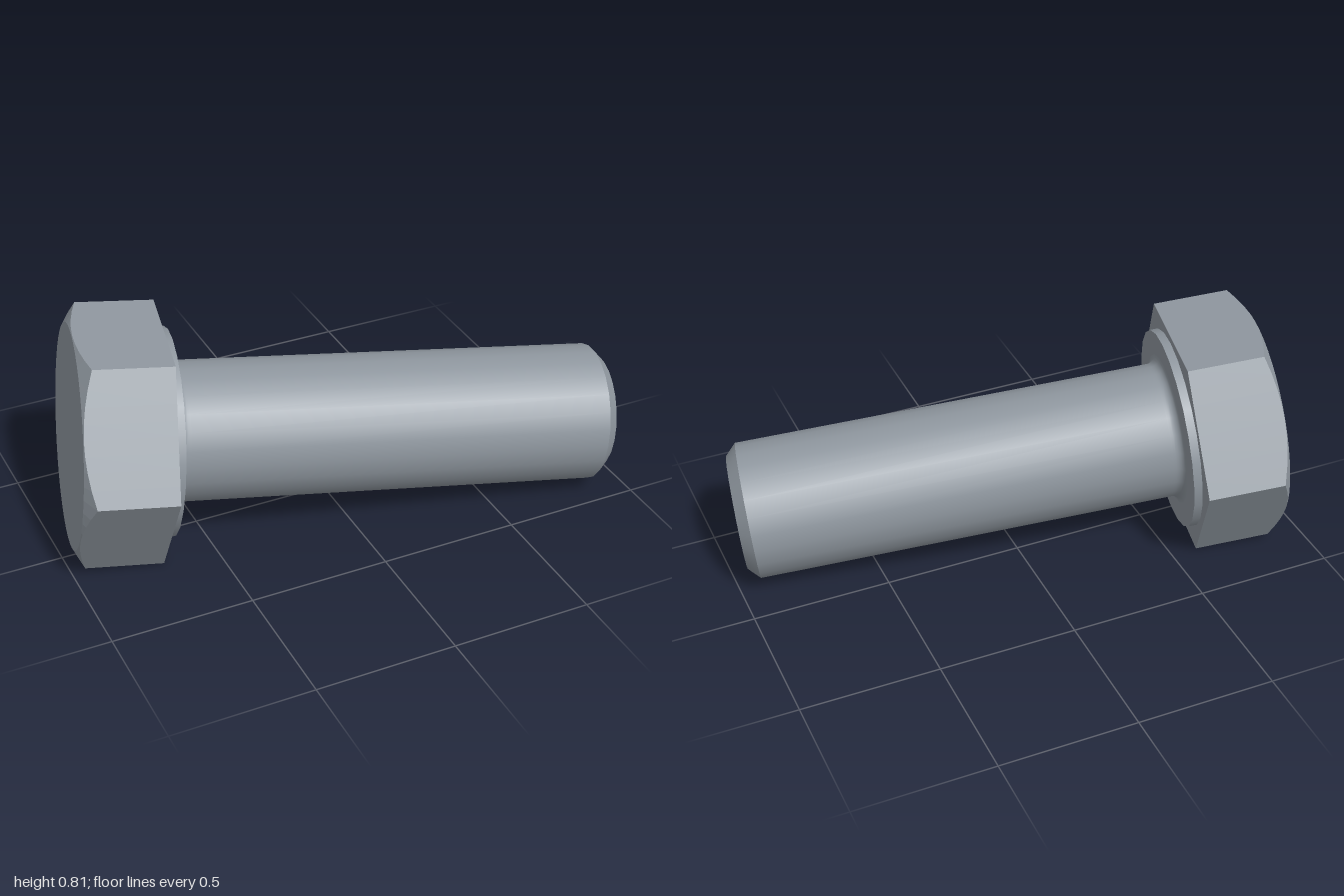
import * as THREE from 'three';

const SIDES = 24;
const steel = new THREE.MeshStandardMaterial({ color: 0x8f979f });
steel.name = 'steel';

// Surface of revolution; profile runs from the head towards the tip
function turned(name, profile) {
  const points = profile.map(([r, y]) => new THREE.Vector2(r, y));
  const mesh = new THREE.Mesh(new THREE.LatheGeometry(points, SIDES), steel);
  mesh.name = name;
  return mesh;
}

// Hexagonal prism whose outer corners are cut by a 30 degree cone
function hexHead(apothem, height) {
  const perSide = 8, n = perSide * 6;
  const rings = a => {
    const off = (a % (Math.PI / 3)) - Math.PI / 6;
    const r = apothem / Math.cos(off);
    const cut = (r - apothem) * Math.tan(Math.PI / 6);
    return [[0, -height], [apothem - 0.003, -height], [r, -height + cut + 0.002], [r, 0], [0, 0]]
      .map(([rad, y]) => [rad * Math.sin(a), y, rad * Math.cos(a)]);
  };
  const columns = [];
  for (let i = 0; i < n; i++) columns.push(rings((i + 1e-6) / n * Math.PI * 2));
  const pos = [];
  for (let i = 0; i < n; i++) {
    const a = columns[i], b = columns[(i + 1) % n];
    for (let k = 0; k < 4; k++) {
      if (k > 0) pos.push(...a[k], ...b[k], ...b[k + 1]);
      if (k < 3) pos.push(...a[k], ...b[k + 1], ...a[k + 1]);
    }
  }
  const geometry = new THREE.BufferGeometry();
  geometry.setAttribute('position', new THREE.Float32BufferAttribute(pos, 3));
  geometry.computeVertexNormals();
  return geometry;
}

export function createModel() {
  const model = new THREE.Group();
  model.name = 'hexBolt';
  const bolt = new THREE.Group();
  bolt.name = 'bolt';
  model.add(bolt);

  // Head, with its bearing face at local y = 0
  const head = new THREE.Mesh(hexHead(0.393, 0.309), steel);
  head.name = 'head';
  bolt.add(head);

  // Thin round washer face under the head
  bolt.add(turned('washerRim', [[0.364, 0], [0.364, 0.03]]));
  bolt.add(turned('washerFace', [[0.364, 0.03], [0.272, 0.03]]));

  // Shank with a fillet at its root
  const shank = [];
  for (let i = 0; i <= 5; i++) {
    const t = i / 5 * Math.PI / 2;
    shank.push([0.275 - 0.03 * Math.sin(t), 0.06 - 0.03 * Math.cos(t)]);
  }
  shank.push([0.245, 0.07], [0.245, 1.564]);
  bolt.add(turned('shank', shank));

  // Chamfered tip
  bolt.add(turned('tipChamfer', [[0.245, 1.564], [0.204, 1.604]]));
  bolt.add(turned('tipFace', [[0.204, 1.604], [0, 1.604]]));

  // Lay the bolt along its tilted axis, with a flat of the head uppermost
  const axis = new THREE.Vector3(1, -0.095, 0.213).normalize();
  const corner = new THREE.Vector3(0.213, 0, -1).normalize();
  const up = new THREE.Vector3().crossVectors(axis, corner).normalize();
  bolt.quaternion.setFromRotationMatrix(new THREE.Matrix4().makeBasis(up, axis, corner));
  bolt.position.set(-0.61, 0.395, -0.034);
  return model;
}
